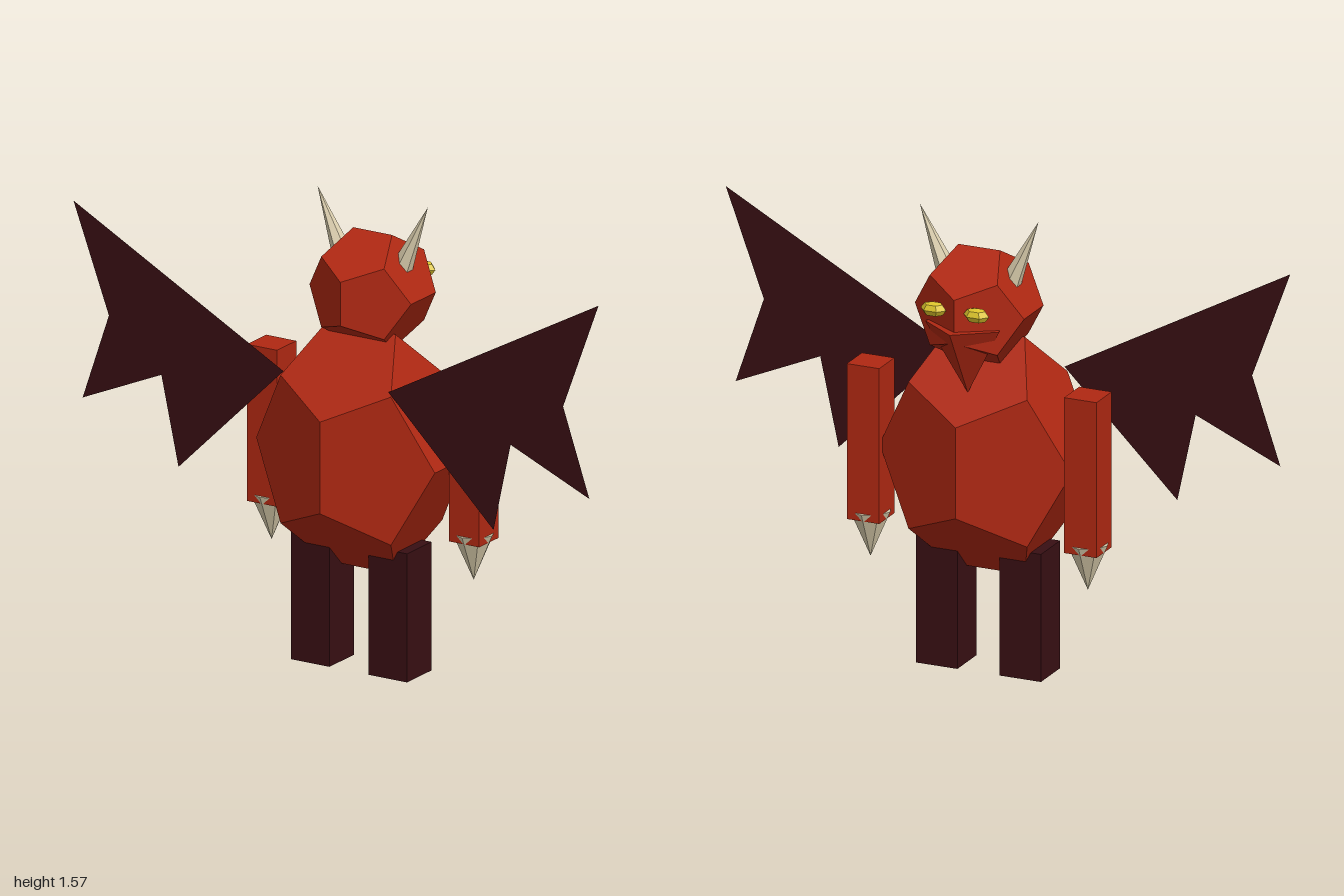
import * as THREE from 'three';

function material(name, color) {
  const m = new THREE.MeshStandardMaterial({ color });
  m.name = name;
  return m;
}

export function createModel() {
  const model = new THREE.Group();
  model.name = 'wingedImp';

  const red = material('red skin', 0xb02812);
  const maroon = material('dark maroon', 0x380f13);
  const bone = material('bone', 0xdccfae);
  const yellow = material('yellow', 0xdcc42c);
  for (const m of [red, maroon, bone, yellow]) m.flatShading = true;
  maroon.side = THREE.DoubleSide;

  function add(name, geometry, mat, x, y, z) {
    const mesh = new THREE.Mesh(geometry, mat);
    mesh.name = name;
    mesh.position.set(x, y, z);
    model.add(mesh);
    return mesh;
  }

  // Faceted torso and head
  add('body', new THREE.DodecahedronGeometry(1), red, 0, 0.735, 0.022).scale.set(0.364, 0.434, 0.266);
  add('head', new THREE.DodecahedronGeometry(0.207), red, 0, 1.255, -0.045);

  // Pointed jaw, tip down
  add('jaw', new THREE.ConeGeometry(0.138, 0.24, 5), red, 0, 1.1, -0.132).rotation.x = Math.PI;

  // Flat wing outline, from the shoulder around the ragged edge
  const outline = [[0.2, 1.0], [0.6, 0.605], [0.665, 0.905], [0.965, 0.775], [0.865, 1.07], [1, 1.435]];

  for (const [side, s] of [['left', 1], ['right', -1]]) {
    // Limbs
    add(side + 'Leg', new THREE.BoxGeometry(0.146, 0.435, 0.146), maroon, s * 0.148, 0.2175, 0.023);
    add(side + 'Arm', new THREE.BoxGeometry(0.115, 0.53, 0.115), red, s * 0.385, 0.738, -0.045);
    add(side + 'Claw', new THREE.ConeGeometry(0.07, 0.16, 8), bone, s * 0.385, 0.418, -0.045).rotation.x = Math.PI;

    // Horn leaning outward
    add(side + 'Horn', new THREE.ConeGeometry(0.037, 0.25, 6), bone, s * 0.159, 1.451, -0.045).rotation.z = -s * 0.42;

    // Eye
    add(side + 'Eye', new THREE.SphereGeometry(1, 6, 4), yellow, s * 0.076, 1.286, -0.23).scale.set(0.045, 0.025, 0.031);

    // Wing
    const shape = new THREE.Shape(outline.map(([x, y]) => new THREE.Vector2(s * x, y)));
    add(side + 'Wing', new THREE.ShapeGeometry(shape), maroon, 0, 0, 0.174);
  }

  return model;
}
